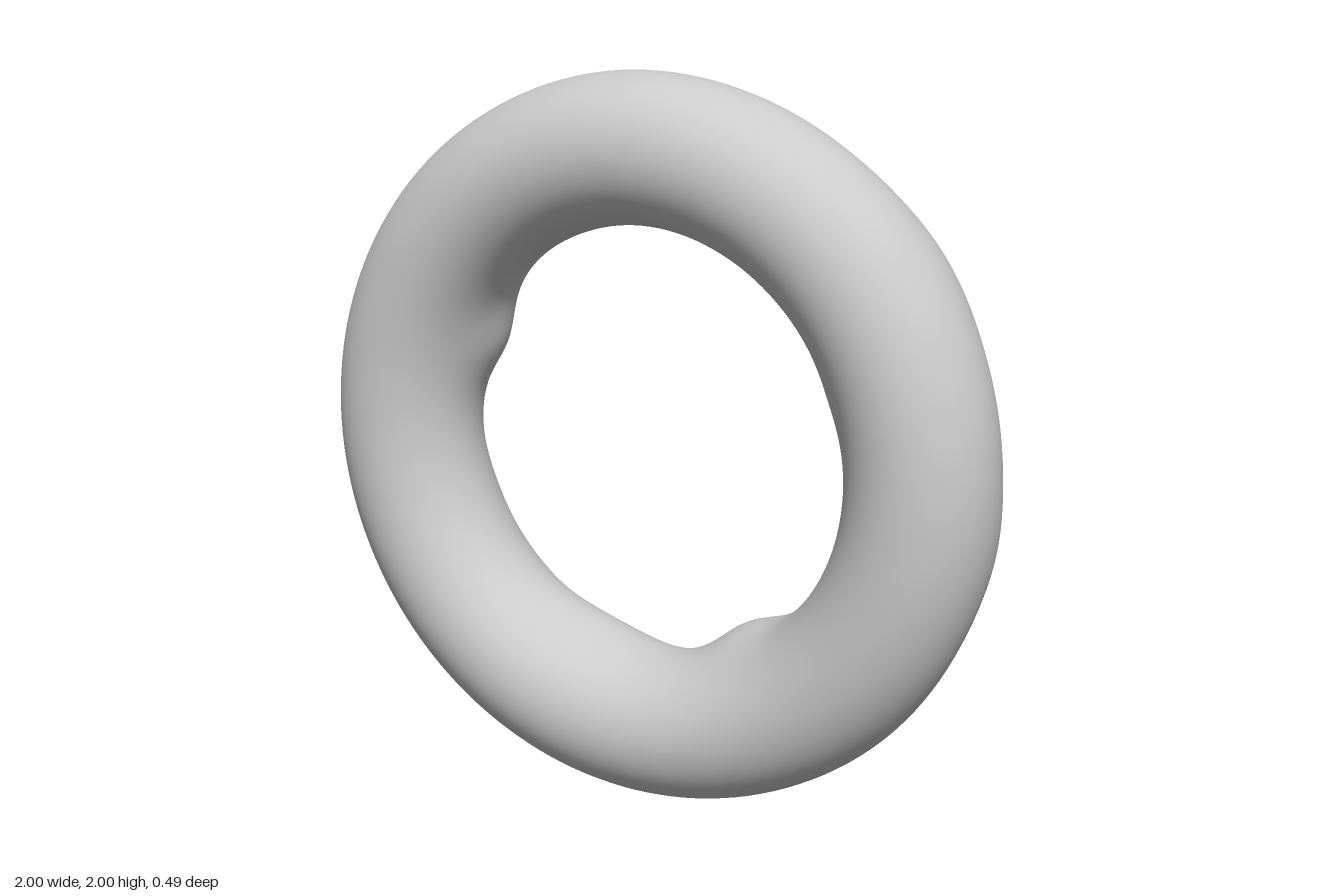
import * as THREE from 'three';

const RING = 0.8, TUBE = 0.198, CENTER_Z = 0.047;

// Lumps on the back: [angle round ring, angle round tube, height, ring spread, tube spread], degrees.
// Tube angle: 0 outside, 90 front, 180 inside, 270 back.
const LUMPS = [
  // back face
  [104, 270, 0.092, 15, 36], [140, 272, 0.055, 12, 36], [70, 265, 0.022, 12, 36],
  [36, 272, 0.05, 11, 36], [10, 262, 0.022, 9, 36], [-11, 270, 0.048, 8, 36],
  [-50, 270, 0.083, 14, 38], [-92, 265, 0.025, 13, 36], [-135, 270, 0.04, 14, 36],
  [174, 270, 0.028, 9, 36], [-160, 268, 0.022, 10, 36],
  // inner rim
  [21, 207, 0.055, 9, 25], [159, 207, 0.053, 9, 25],
  [-63, 207, 0.058, 9, 25], [-108, 207, 0.032, 13, 25],
];

const wrap = (d) => ((d + 540) % 360 + 360) % 360 - 180;

function lumpHeight(u, v) {
  let h = 0;
  for (const [cu, cv, height, su, sv] of LUMPS) {
    h += height * Math.exp(-0.5 * ((wrap(u - cu) / su) ** 2 + (wrap(v - cv) / sv) ** 2));
  }
  return h;
}

// Ring whose round section swells wherever there is a lump
function lumpyRing(segments, sides) {
  const geometry = new THREE.TorusGeometry(RING, TUBE, sides, segments);
  const pos = geometry.attributes.position, normal = geometry.attributes.normal;
  const point = (u, v) => {
    const r = TUBE + lumpHeight(u * 180 / Math.PI, v * 180 / Math.PI);
    const d = RING + r * Math.cos(v);
    return new THREE.Vector3(d * Math.cos(u), d * Math.sin(u), r * Math.sin(v));
  };
  const e = 0.004;
  for (let j = 0, i = 0; j <= sides; j++) {
    for (let k = 0; k <= segments; k++, i++) {
      const u = k / segments * Math.PI * 2, v = j / sides * Math.PI * 2;
      const p = point(u, v);
      pos.setXYZ(i, p.x, p.y, p.z);
      // Surface slope gives smooth normals across the seams
      const du = point(u + e, v).sub(point(u - e, v));
      const dv = point(u, v + e).sub(point(u, v - e));
      const n = du.cross(dv).normalize();
      normal.setXYZ(i, n.x, n.y, n.z);
    }
  }
  return geometry;
}

export function createModel() {
  const group = new THREE.Group();
  group.name = 'lumpyRing';
  const ring = new THREE.Mesh(
    lumpyRing(160, 64),
    new THREE.MeshStandardMaterial({ color: 0xcccccc }),
  );
  ring.name = 'ring';
  ring.position.set(0, 1, CENTER_Z);
  group.add(ring);
  return group;
}
